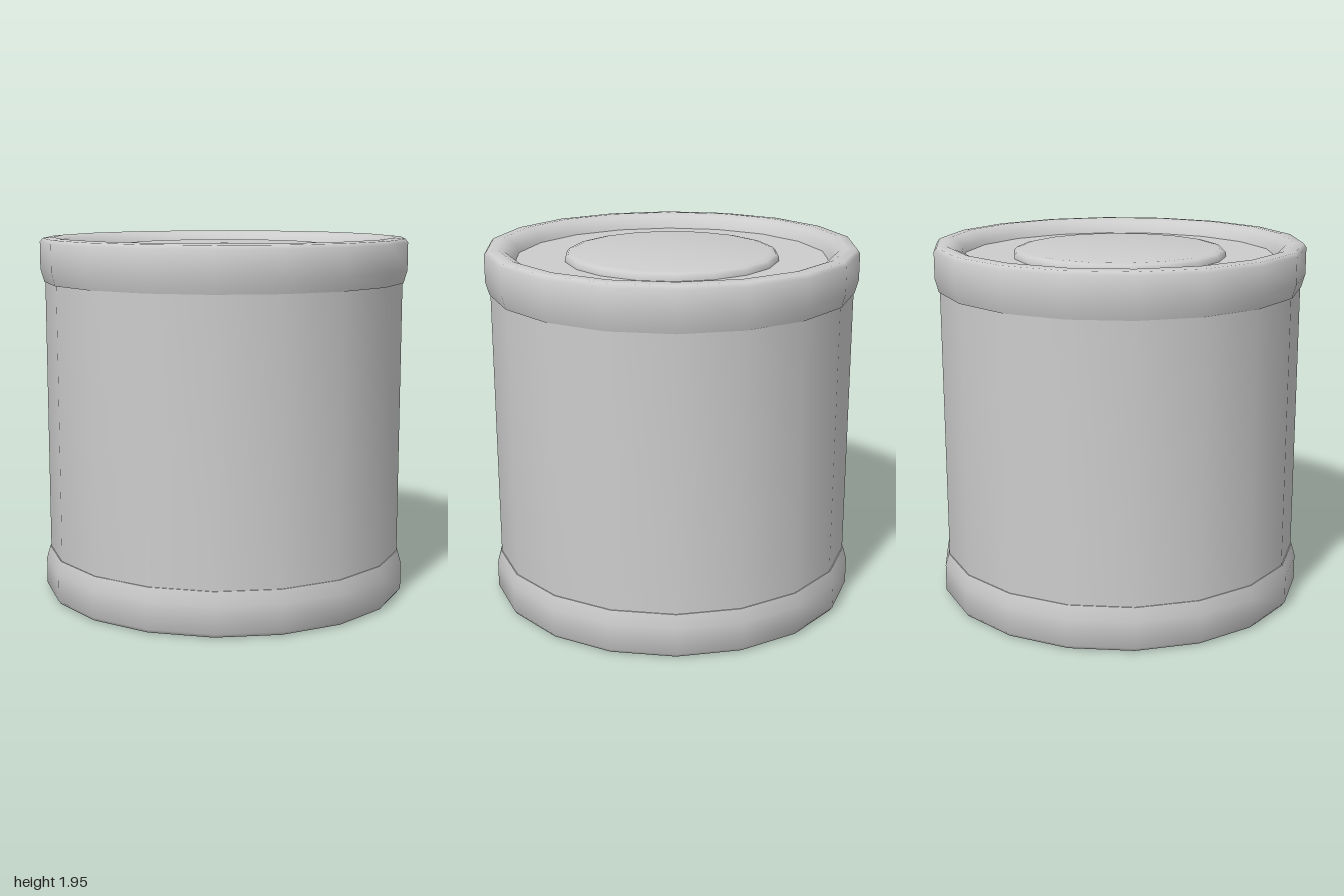
import * as THREE from 'three';
import { toCreasedNormals } from 'three/addons/utils/BufferGeometryUtils.js';

const SIDES = 18;
const HEIGHT = 1.95;

export function createModel() {
  const model = new THREE.Group();
  model.name = 'can';
  const grey = new THREE.MeshStandardMaterial({ color: 0xcccccc });
  grey.name = 'plain grey';

  // Revolves a [radius, height] profile; corners lie on the x axis
  function turned(name, profile, crease) {
    const points = profile.map(([r, y]) => new THREE.Vector2(r, y));
    const geometry = toCreasedNormals(new THREE.LatheGeometry(points, SIDES, Math.PI / 2), crease);
    const mesh = new THREE.Mesh(geometry, grey);
    mesh.name = name;
    model.add(mesh);
  }

  // Straight wall with recessed top and bottom plates
  turned('body', [[0, 0.08], [0.9, 0.08], [0.975, 0.15], [0.975, 1.8], [0.9, 1.87], [0, 1.87]], 0.6);

  // Rounded rims, the lower one mirrored from the upper
  const rim = [
    [0.95, 1.71], [0.98, 1.71], [1, 1.78], [1, 1.925], [0.985, 1.945],
    [0.93, 1.95], [0.89, 1.935], [0.855, 1.9], [0.84, 1.86],
  ];
  turned('upperRim', rim, 1.1);
  turned('lowerRim', rim.map(([r, y]) => [r, HEIGHT - y]).reverse(), 1.1);

  // Raised disc on the lid with a softened edge
  turned('lidDisc', [[0.575, 1.86], [0.575, 1.89], [0.56, 1.905], [0.53, 1.912], [0, 1.915]], 1.1);

  return model;
}
